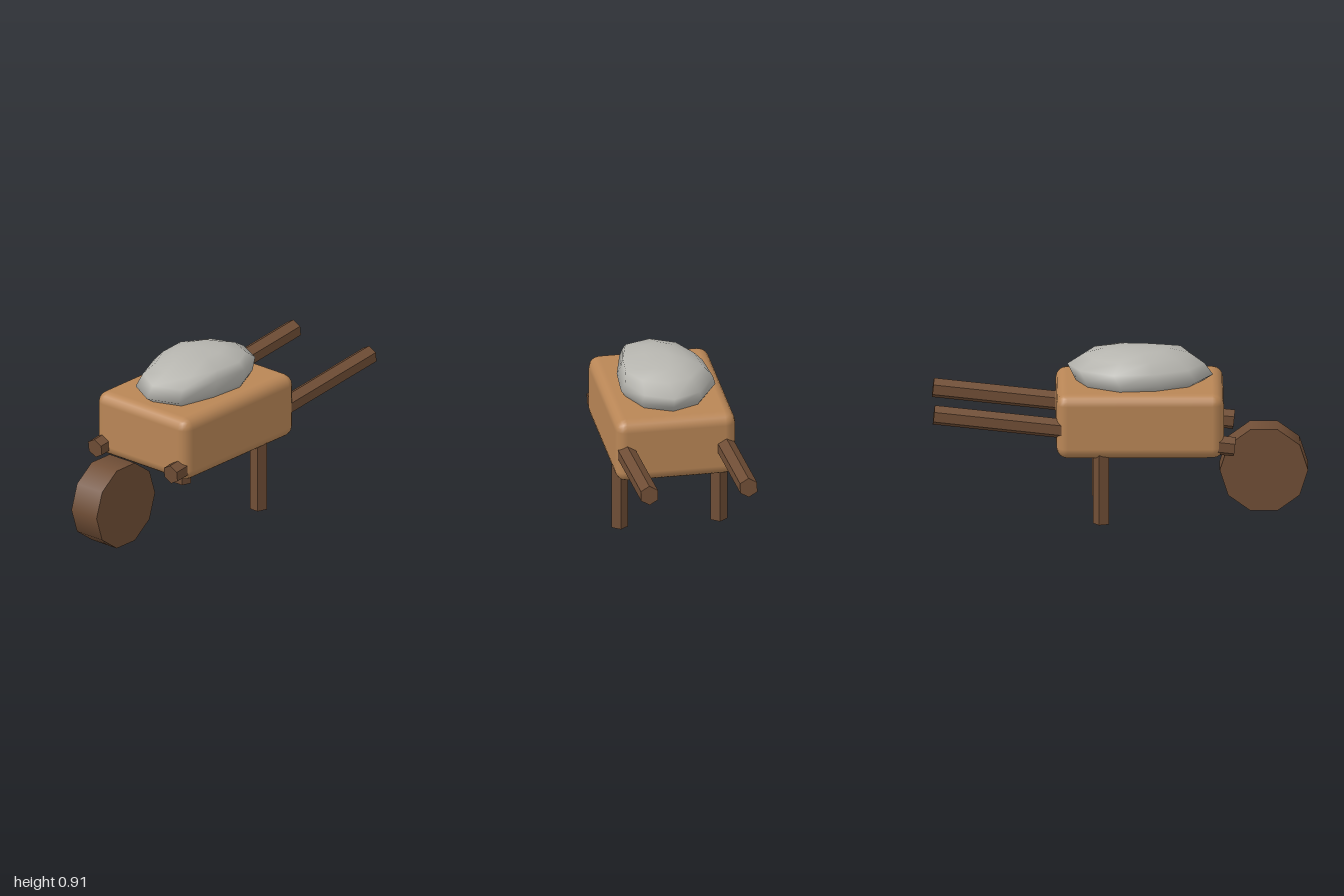
import * as THREE from 'three';
import { RoundedBoxGeometry } from 'three/addons/geometries/RoundedBoxGeometry.js';

const material = (name, color, flatShading = false) => {
  const m = new THREE.MeshStandardMaterial({ color });
  m.name = name;
  m.flatShading = flatShading;
  return m;
};

// Heap outline on the ground plane (x, z), running from the back round by +x
const OUTLINE = [
  [0, -0.28], [0.16, -0.2], [0.24, -0.02], [0.225, 0.2], [0.17, 0.43],
  [0, 0.495], [-0.16, 0.4], [-0.25, 0.2], [-0.27, -0.02], [-0.16, -0.21],
];

// Each ring of the heap: y, then the x and z limits the outline is fitted to
const RINGS = [
  [0.69, -0.22, 0.2, -0.22, 0.41],
  [0.745, -0.27, 0.24, -0.25, 0.495],
  [0.807, -0.25, 0.225, -0.28, 0.45],
  [0.86, -0.2, 0.215, -0.19, 0.37],
  [0.892, -0.12, 0.1, -0.09, 0.26],
];

function heapGeometry() {
  const positions = [], index = [], n = OUTLINE.length;
  const { mapLinear } = THREE.MathUtils;
  for (const [y, x0, x1, z0, z1] of RINGS) {
    for (const [x, z] of OUTLINE) {
      positions.push(mapLinear(x, -0.27, 0.24, x0, x1), y, mapLinear(z, -0.28, 0.495, z0, z1));
    }
  }
  const bottom = RINGS.length * n, top = bottom + 1;
  positions.push(0, 0.69, 0.1, -0.03, 0.908, 0.08);
  for (let i = 0; i < n; i++) {
    const j = (i + 1) % n;
    for (let r = 0; r < RINGS.length - 1; r++) {
      const a = r * n + i, b = r * n + j;
      index.push(b, a, a + n, b, a + n, b + n);
    }
    const last = (RINGS.length - 1) * n;
    index.push(i, j, bottom, last + j, last + i, top);
  }
  const geometry = new THREE.BufferGeometry();
  geometry.setAttribute('position', new THREE.Float32BufferAttribute(positions, 3));
  geometry.setIndex(index);
  geometry.computeVertexNormals();
  return geometry;
}

export function createModel() {
  const group = new THREE.Group();
  group.name = 'wheelbarrow';
  const trayWood = material('light wood', 0xb98656);
  const darkWood = material('dark wood', 0x704e36);
  const beamWood = darkWood;
  const stone = material('grey stone', 0xb6b5af);

  const add = (name, geometry, mat, x, y, z) => {
    const mesh = new THREE.Mesh(geometry, mat);
    mesh.name = name;
    mesh.position.set(x, y, z);
    group.add(mesh);
    return mesh;
  };

  // Rounded tray
  add('tray', new RoundedBoxGeometry(0.65, 0.355, 0.89, 2, 0.06), trayWood, 0, 0.5375, 0.105);

  // Stone heap on the tray
  add('stoneHeap', heapGeometry(), stone, 0, 0, 0);

  // Ten-sided solid wheel
  const wheel = new THREE.CylinderGeometry(0.235, 0.235, 0.178, 10);
  wheel.rotateZ(Math.PI / 2);
  add('wheel', wheel, darkWood, 0, 0.24, 0.765);

  // Six-sided handles, rising to the back
  const handle = new THREE.CylinderGeometry(0.053, 0.053, 1.61, 6).toNonIndexed();
  handle.computeVertexNormals();
  handle.rotateX(Math.PI / 2 + 0.112);

  // Five-sided legs, flat side to the front
  const leg = new THREE.CylinderGeometry(0.0475, 0.0475, 0.42, 5, 1, false, Math.PI).toNonIndexed();
  leg.computeVertexNormals();

  for (const [side, s] of [['left', 1], ['right', -1]]) {
    add(side + 'Handle', handle, beamWood, s * 0.268, 0.51, -0.192);
    add(side + 'Leg', leg, beamWood, s * 0.268, 0.21, -0.099);
  }
  return group;
}
